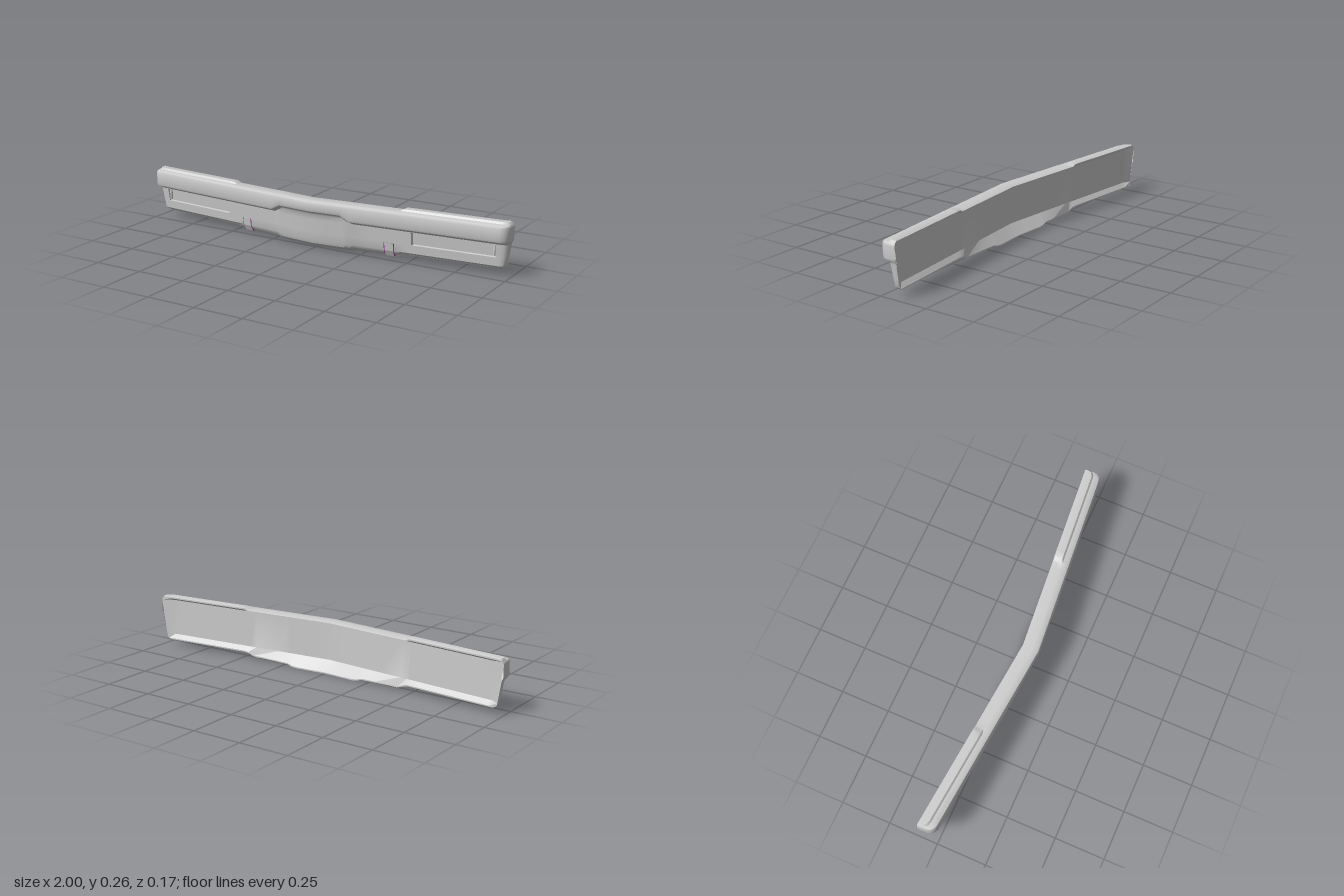
import * as THREE from 'three';
import { toCreasedNormals } from 'three/addons/utils/BufferGeometryUtils.js';

const SLOPE = 0.09;
const frontZ = (a) => 0.088 - SLOPE * a;

// piecewise linear lookup in [[key, value], ...]
function lerpTable(table, t) {
  if (t <= table[0][0]) return table[0][1];
  for (let i = 1; i < table.length; i++) {
    const [k0, v0] = table[i - 1], [k1, v1] = table[i];
    if (t <= k1) return v0 + (v1 - v0) * (t - k0) / (k1 - k0);
  }
  return table[table.length - 1][1];
}

// how the section varies with distance from the middle
const TOP = [[0, 0.257], [0.465, 0.257], [0.485, 0.267], [1, 0.267]];
const STEP = [[0.17, 0.2], [0.22, 0.174]];
const PROUD = [[0.195, 0.008], [0.22, 0]];
const BOTTOM = [[0, 0.003], [0.18, 0.004], [0.22, 0.014], [0.43, 0.018], [0.475, 0.034], [1, 0.035]];
const BOTTOM_BACK = [[0, 0.113], [0.19, 0.11], [0.23, 0.1], [0.46, 0.085], [1, 0.085]];
// how far each height is drawn in at the end caps
const INSET = [[0.035, 0.05], [0.042, 0.034], [0.055, 0.026], [0.165, 0.008], [0.18, 0], [0.25, 0], [0.268, 0.014]];

// closed section: [depth behind the front line, height, is inner side]
function section(a) {
  const top = lerpTable(TOP, a), s = lerpTable(STEP, a), b = lerpTable(BOTTOM, a);
  const p = lerpTable(PROUD, a), back = lerpTable(BOTTOM_BACK, a);
  const pocket = a > 0.522 && a < 0.938 ? 0.014 : 0;
  const face = (y) => 0.038 - p + 0.014 * (0.165 - y) / 0.12;
  const under = (f) => b + (0.052 - b) * f;
  return [
    [0.084, top - 0.003], [0.078, top], [0.042, top], [0.034, 0.258], [0.012, 0.257],
    [0.003, 0.252], [0, 0.243], [0, s + 0.014], [0.004, s + 0.004], [0.026 - p / 2, s - 0.006],
    [face(s - 0.014), s - 0.014],
    [face(0.158), 0.158], [face(0.156) + pocket, 0.156],
    [face(0.096) + pocket, 0.096], [face(0.094), 0.094],
    [face(0.052), 0.052], [0.058 - p, under(0.6)], [0.07, under(0.28)],
    [back - 0.012, under(0.02)], [back, b],
    // tray on the back
    [back, b + 0.006, true], [0.067, 0.062, true], [0.066, 0.246, true], [0.084, top - 0.01, true],
  ];
}

function shellGeometry() {
  // stations: [distance from middle, end wrap 0..1]
  const half = [[0, 0], [0.1, 0], [0.17, 0], [0.195, 0], [0.22, 0], [0.3, 0], [0.43, 0], [0.465, 0],
    [0.485, 0], [0.52, 0], [0.524, 0], [0.7, 0], [0.9, 0], [0.936, 0], [0.94, 0], [0.965, 0],
    [0.982, 0.06], [0.994, 0.2], [1, 0.4], [1, 1]];
  const stations = [
    ...half.slice(1).reverse().map(([a, k]) => [-1, a, k]),
    ...half.map(([a, k]) => [1, a, k]),
  ];
  const pos = [], idx = [];
  let n = 0;
  for (const [side, a, k] of stations) {
    const pts = section(a);
    n = pts.length;
    for (const [d, y, inner] of pts) {
      const pull = lerpTable(INSET, y) * Math.max(0, (a - 0.9) / 0.1);
      let x = a - pull, depth = d;
      if (inner && k < 1) x = Math.min(x, 0.935);
      if (!inner || k === 1) depth = d + (0.085 - d) * k;
      pos.push(side * x, y, frontZ(x) - depth);
    }
  }
  for (let i = 0; i < stations.length - 1; i++) {
    for (let j = 0; j < n; j++) {
      const p = i * n + j, q = i * n + (j + 1) % n;
      idx.push(p, q, p + n, q, q + n, p + n);
    }
  }
  const g = new THREE.BufferGeometry();
  g.setAttribute('position', new THREE.Float32BufferAttribute(pos, 3));
  g.setIndex(idx);
  return toCreasedNormals(g, 0.55);
}

// hook cover following the lower face, grown outwards by o
function coverGeometry(o, width) {
  const shape = new THREE.Shape([
    [-0.046 + o, 0.09], [-0.052 + o, 0.05], [-0.066 + o, 0.024 - o],
    [-0.085, 0.018 - o], [-0.085, 0.026], [-0.064, 0.035], [-0.06, 0.09],
  ].map(([z, y]) => new THREE.Vector2(z, y)));
  const g = new THREE.ExtrudeGeometry(shape, { depth: width, bevelEnabled: false });
  g.translate(0, 0, -width / 2);
  g.rotateY(-Math.PI / 2);
  return g;
}

export function createModel() {
  const model = new THREE.Group();
  model.name = 'bumper';
  const grey = new THREE.MeshStandardMaterial({ color: 0xcccccc, side: THREE.DoubleSide });
  const purple = new THREE.MeshStandardMaterial({ color: 0x993399 });

  const add = (name, geometry, material, parent) => {
    const mesh = new THREE.Mesh(geometry, material);
    mesh.name = name;
    parent.add(mesh);
    return mesh;
  };

  add('bumperShell', shellGeometry(), grey, model);

  for (const side of [1, -1]) {
    const label = side > 0 ? 'left' : 'right';
    const tilt = side * Math.atan(SLOPE);

    // hook cover with its coloured seam
    const hook = new THREE.Group();
    hook.name = label + 'HookCover';
    hook.position.set(side * 0.41, 0, frontZ(0.41));
    hook.rotation.y = tilt;
    add('coverSeam', coverGeometry(0.001, 0.052), purple, hook);
    add('coverPlate', coverGeometry(0.0025, 0.044), grey, hook);
    model.add(hook);

    // small tabs at the outer end of each lamp pocket
    const tab = add(label + 'PocketTab', new THREE.BoxGeometry(0.008, 0.052, 0.012), grey, model);
    tab.position.set(side * 0.923, 0.127, frontZ(0.923) - 0.05);
    tab.rotation.y = tilt;
  }
  return model;
}
